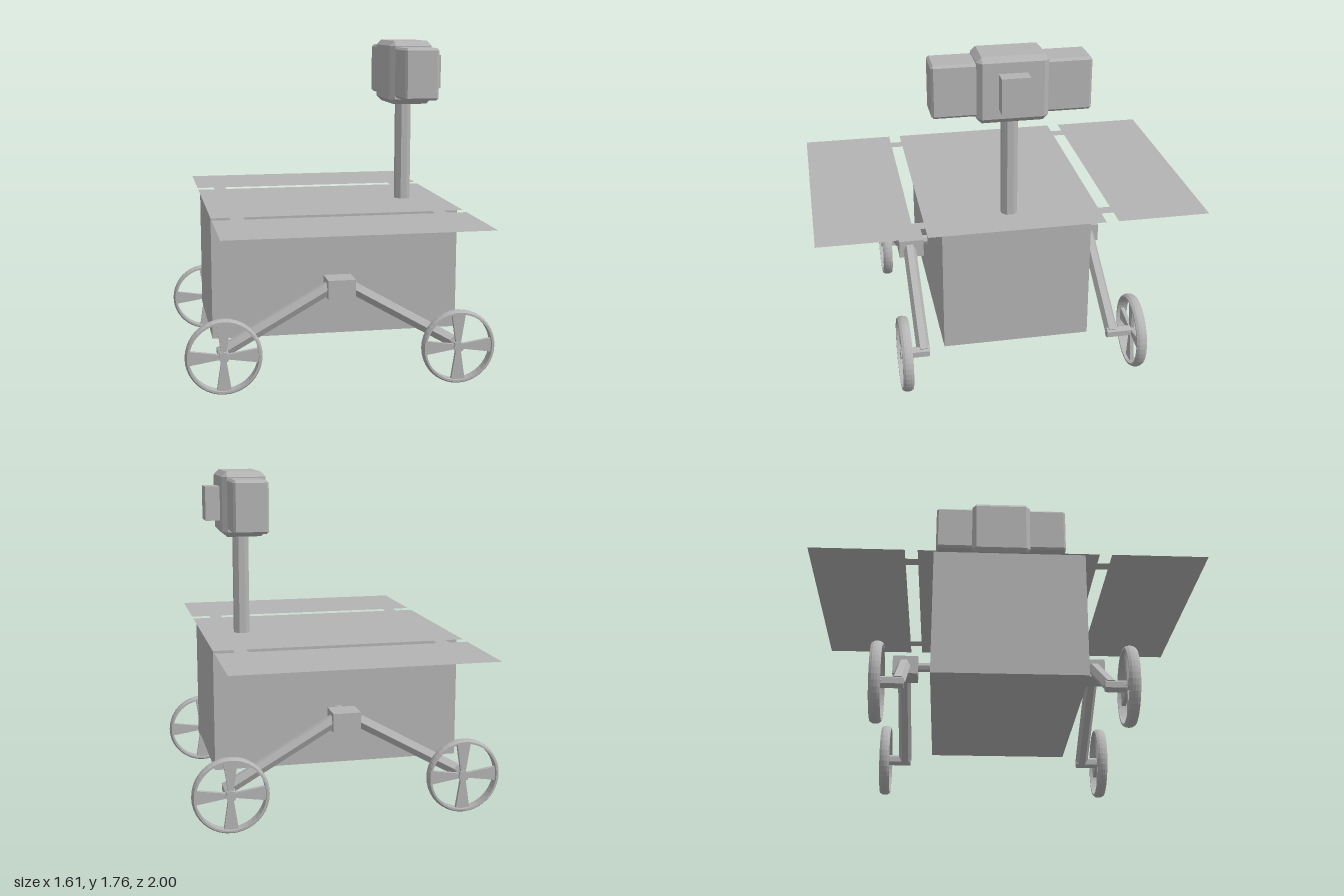
import * as THREE from 'three';
import { ConvexGeometry } from 'three/addons/geometries/ConvexGeometry.js';

const grey = new THREE.MeshStandardMaterial({ color: 0xb4b4b4, flatShading: true });
grey.name = 'grey';
const greySmooth = grey; // one colour everywhere
const greySheet = new THREE.MeshStandardMaterial({ color: 0xb4b4b4, side: THREE.DoubleSide });
greySheet.name = 'greySheet';

function add(parent, name, geometry, material = grey) {
  const mesh = new THREE.Mesh(geometry, material);
  mesh.name = name;
  parent.add(mesh);
  return mesh;
}

// Box given by its min and max corners
function box(parent, name, a, b) {
  const mesh = add(parent, name, new THREE.BoxGeometry(b[0] - a[0], b[1] - a[1], b[2] - a[2]));
  mesh.position.set((a[0] + b[0]) / 2, (a[1] + b[1]) / 2, (a[2] + b[2]) / 2);
  return mesh;
}

// Box with all edges chamfered by c
function chamferBox(parent, name, a, b, c) {
  const h = [0, 1, 2].map(i => (b[i] - a[i]) / 2);
  const points = [];
  for (const sx of [-1, 1]) for (const sy of [-1, 1]) for (const sz of [-1, 1]) {
    for (let full = 0; full < 3; full++) {
      const p = h.map((v, i) => (i === full ? v : v - c));
      points.push(new THREE.Vector3(sx * p[0], sy * p[1], sz * p[2]));
    }
  }
  const mesh = add(parent, name, new ConvexGeometry(points));
  mesh.position.set(...h.map((v, i) => a[i] + v));
  return mesh;
}

// Straight rod between two points
function rod(parent, name, a, b, radius, sides = 8) {
  const p = new THREE.Vector3(...a), q = new THREE.Vector3(...b);
  const mesh = add(parent, name, new THREE.CylinderGeometry(radius, radius, p.distanceTo(q), sides));
  mesh.position.copy(p).lerp(q, 0.5);
  mesh.quaternion.setFromUnitVectors(new THREE.Vector3(0, 1, 0), q.sub(p).normalize());
  return mesh;
}

// Thin rimmed wheel with four flared spokes, its axle along z
function makeWheel(name) {
  const wheel = new THREE.Group();
  wheel.name = name;
  const profile = [[0.176, -0.027], [0.186, -0.027], [0.194, -0.014], [0.196, 0], [0.194, 0.014],
    [0.186, 0.027], [0.176, 0.027], [0.176, -0.027]].map(p => new THREE.Vector2(...p));
  add(wheel, 'rim', new THREE.LatheGeometry(profile, 40), greySmooth).rotation.x = Math.PI / 2;
  add(wheel, 'hub', new THREE.CylinderGeometry(0.028, 0.028, 0.045, 8)).rotation.x = Math.PI / 2;
  const shape = new THREE.Shape([[-0.012, 0.015], [0.012, 0.015], [0.037, 0.178], [-0.037, 0.178]]
    .map(p => new THREE.Vector2(...p)));
  const spokeGeometry = new THREE.ExtrudeGeometry(shape, { depth: 0.02, bevelEnabled: false });
  spokeGeometry.translate(0, 0, -0.01);
  for (let i = 0; i < 4; i++) add(wheel, 'spoke', spokeGeometry).rotation.z = i * Math.PI / 2;
  return wheel;
}

export function createModel() {
  const rover = new THREE.Group();
  rover.name = 'rover';

  box(rover, 'body', [-0.65, 0.25, -0.378], [0.65, 0.893, 0.38]);

  // Flat deck with two outer panels joined by narrow tabs
  const deck = new THREE.Group();
  deck.name = 'solarDeck';
  deck.position.y = 0.897;
  rover.add(deck);
  const sheet = (name, x0, x1, z0, z1) => {
    const mesh = add(deck, name, new THREE.PlaneGeometry(x1 - x0, z1 - z0), greySheet);
    mesh.rotation.x = -Math.PI / 2;
    mesh.position.set((x0 + x1) / 2, 0, (z0 + z1) / 2);
  };
  sheet('middlePanel', -0.655, 0.66, -0.457, 0.451);
  sheet('frontPanel', -0.655, 0.66, 0.513, 1);
  sheet('backPanel', -0.655, 0.66, -1, -0.521);
  for (const x of [-0.56, 0.492]) {
    sheet('frontTab', x, x + 0.068, 0.451, 0.513);
    sheet('backTab', x, x + 0.068, -0.521, -0.457);
  }

  // Mast and camera head
  const mast = add(rover, 'mast', new THREE.CylinderGeometry(0.044, 0.044, 0.56, 8));
  mast.rotation.y = Math.PI / 8;
  mast.position.set(0.445, 1.17, 0.005);
  const head = new THREE.Group();
  head.name = 'head';
  rover.add(head);
  chamferBox(head, 'headCentre', [0.33, 1.43, -0.17], [0.56, 1.765, 0.185], 0.026);
  chamferBox(head, 'headLeftPod', [0.355, 1.465, -0.387], [0.535, 1.733, -0.1], 0.012);
  chamferBox(head, 'headRightPod', [0.355, 1.465, 0.1], [0.535, 1.733, 0.402], 0.012);
  box(head, 'cameraEye', [0.54, 1.508, -0.062], [0.636, 1.685, 0.08]);

  // Rocker suspension on each side
  const sides = [
    { name: 'front', s: 1, bracket: 0.475, leg: 0.485, wheels: [0.57, 0.583] },
    { name: 'back', s: -1, bracket: -0.522, leg: -0.53, wheels: [-0.628, -0.64] },
  ];
  for (const { name, s, bracket, leg, wheels } of sides) {
    const rocker = new THREE.Group();
    rocker.name = name + 'Rocker';
    rover.add(rocker);
    box(rocker, 'bracket', [-0.072, 0.472, bracket - 0.067], [0.072, 0.571, bracket + 0.067]);
    rod(rocker, 'pivot', [0, 0.535, s * 0.36], [0, 0.535, bracket], 0.026);
    [-0.61, 0.607].forEach((x, i) => {
      const y = i ? 0.203 : 0.212;
      rod(rocker, 'leg', [Math.sign(x) * 0.04, 0.532, leg], [x, y, leg], 0.035, 6);
      rod(rocker, 'axle', [x, y, leg - s * 0.03], [x, y, wheels[i]], 0.03, 6);
      const wheel = makeWheel('wheel');
      wheel.position.set(x, y, wheels[i]);
      rocker.add(wheel);
    });
  }

  // Rest the wheels on the ground
  const bounds = new THREE.Box3().setFromObject(rover);
  rover.position.y = -bounds.min.y;
  const model = new THREE.Group();
  model.name = 'model';
  model.add(rover);
  return model;
}
